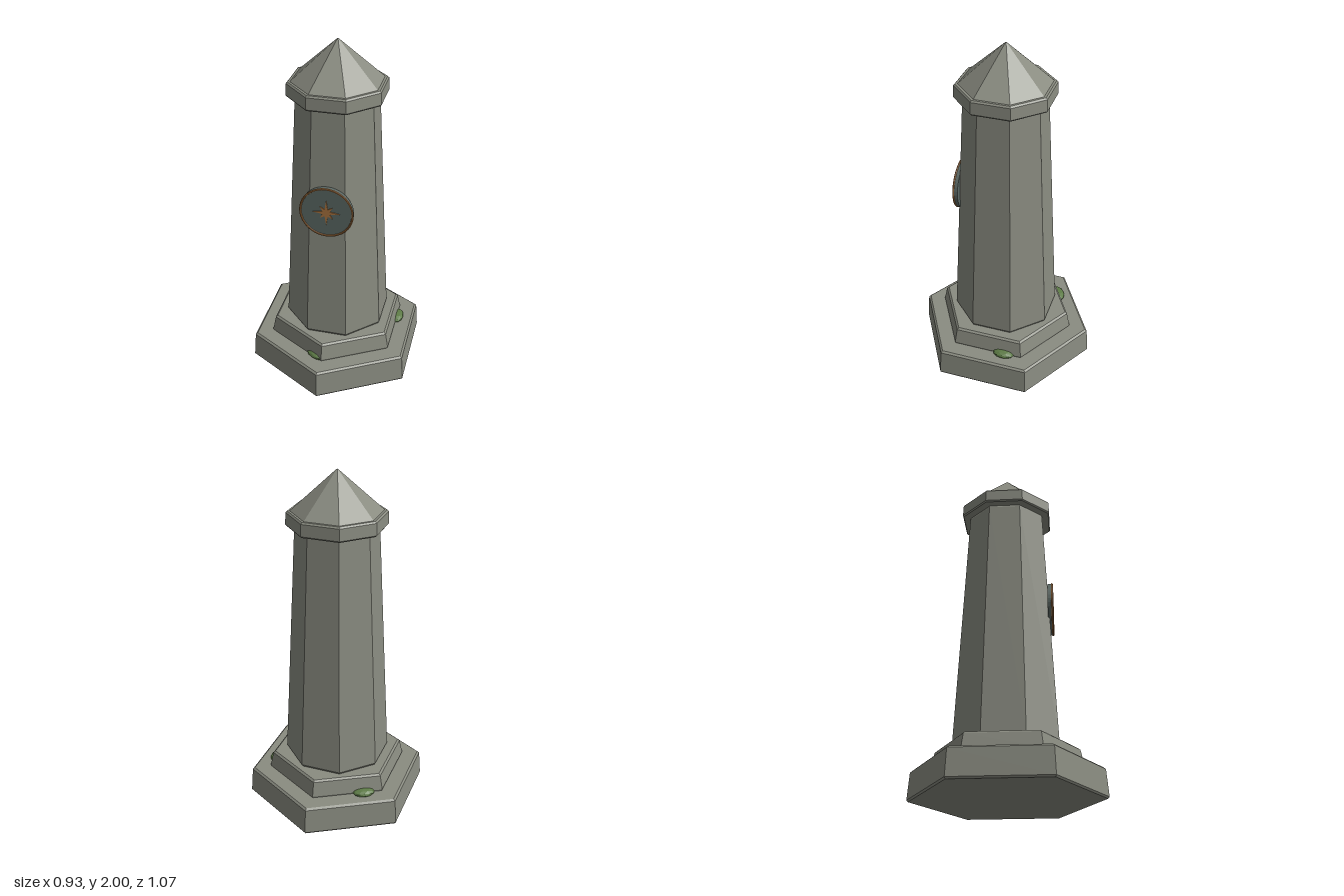
import * as THREE from 'three';

const material = (name, color, flatShading = true) => {
  const m = new THREE.MeshStandardMaterial({ color, flatShading });
  m.name = name;
  return m;
};

export function createModel() {
  const stone = material('stone', 0x8a8c81);
  const slate = material('slate', 0x5b6864);
  const copper = material('copper', 0xa8733f);
  const moss = material('moss', 0x5c7a45);

  const group = new THREE.Group();
  const add = (name, geometry, mat, x = 0, y = 0, z = 0) => {
    const mesh = new THREE.Mesh(geometry, mat);
    mesh.name = name;
    mesh.position.set(x, y, z);
    group.add(mesh);
    return mesh;
  };

  // Faceted solid from [radius, y] points, bottom to top
  const tier = (sides, profile, turn = 0) => new THREE.LatheGeometry(
    profile.map(([r, y]) => new THREE.Vector2(r, y)), sides, turn);

  // Stepped hexagonal base, corners facing front and back
  add('plinth', tier(6, [
    [0, 0], [0.527, 0], [0.535, 0.01], [0.523, 0.158], [0.51, 0.168], [0, 0.168],
  ]), stone);
  add('step', tier(6, [
    [0, 0.165], [0.407, 0.165], [0.412, 0.178], [0.393, 0.265], [0.38, 0.275], [0, 0.275],
  ]), stone);

  // Octagonal parts, flat sides facing front; profiles use the distance to a flat side
  const octagon = profile => tier(8,
    profile.map(([a, y]) => [a / Math.cos(Math.PI / 8), y]), Math.PI / 8);
  add('shaft', octagon([
    [0, 0.27], [0.276, 0.275], [0.283, 0.288], [0.214, 1.682], [0.208, 1.695], [0, 1.7],
  ]), stone);
  add('collar', octagon([
    [0, 1.694], [0.252, 1.694], [0.258, 1.702], [0.255, 1.768], [0.247, 1.777], [0, 1.777],
  ]), stone);
  add('roof', octagon([[0, 1.77], [0.237, 1.77], [0.234, 1.778], [0.004, 2], [0, 2]]), stone);

  // Round medallion on the front
  const cy = 1.105;
  const disc = new THREE.CylinderGeometry(0.149, 0.149, 0.024, 40).rotateX(Math.PI / 2);
  add('medallionDisc', disc, slate, 0, cy, 0.25);
  add('medallionRim', new THREE.TorusGeometry(0.147, 0.006, 8, 40), copper, 0, cy, 0.263);

  // Eight-pointed star, long points upright and level
  const star = new THREE.Shape();
  for (let i = 0; i < 16; i++) {
    const r = i % 2 ? 0.023 : i % 4 ? 0.05 : 0.077;
    const a = i * Math.PI / 8;
    star[i ? 'lineTo' : 'moveTo'](r * Math.cos(a), r * Math.sin(a));
  }
  star.closePath();
  add('star', new THREE.ExtrudeGeometry(star, { depth: 0.006, bevelEnabled: false }),
    copper, 0, cy, 0.261);

  // Moss cushions tucked against the step: x, z, half length, half width, turn
  [
    [0.358, -0.1, 0.064, 0.038, Math.PI / 2],
    [-0.262, -0.265, 0.065, 0.042, Math.PI / 6],
    [-0.04, 0.36, 0.07, 0.042, -Math.PI / 6],
  ].forEach(([x, z, length, width, turn], i) => {
    const mesh = add('moss' + (i + 1), new THREE.IcosahedronGeometry(1, 1), moss, x, 0.178, z);
    mesh.scale.set(length, 0.022, width);
    mesh.rotation.y = turn;
  });

  return group;
}
